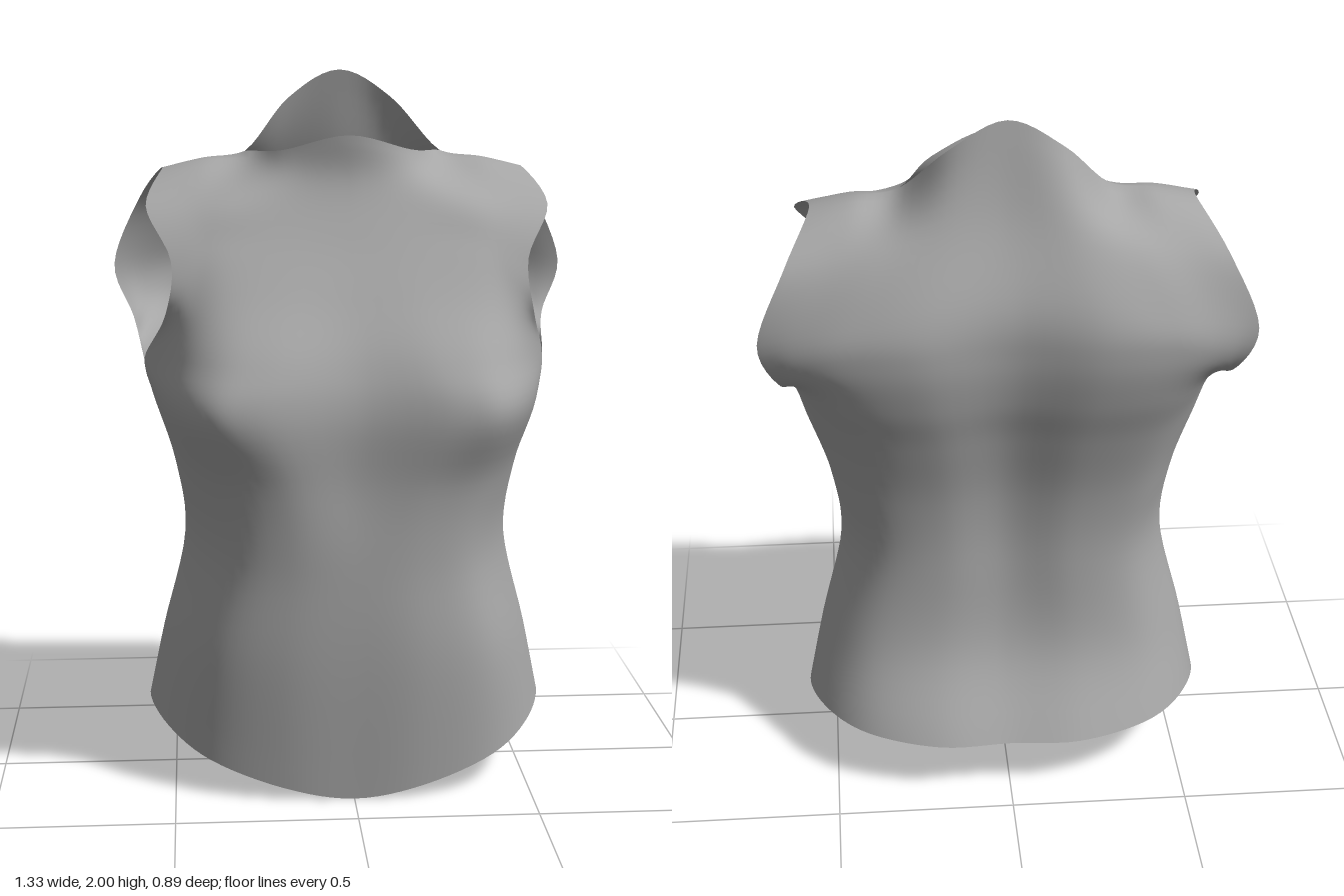
import * as THREE from 'three';
import { mergeVertices } from 'three/addons/utils/BufferGeometryUtils.js';

// Vertical guide seams for the left half, hem to top, ten stations each.
const sideSeam = [[.575, .185, -.08], [.53, .4, -.07], [.465, .68, -.06], [.49, .9, -.05], [.553, 1.1, -.05], [.575, 1.19, -.06]];
const shoulderTip = [.515, 1.73, -.14], shoulderMid = [.4, 1.757, -.14], neckCorner = [.28, 1.775, -.14];

const front = [
  // centre line
  [[0, 0, .35], [0, .4, .39], [0, .68, .4], [0, .9, .395], [0, 1.1, .403], [0, 1.24, .365], [0, 1.4, .275], [0, 1.56, .185], [0, 1.71, .123], [0, 1.835, .128]],
  // bust line, ending on the neckline
  [[.2, .035, .345], [.2, .4, .38], [.18, .68, .388], [.2, .9, .405], [.27, 1.1, .443], [.23, 1.24, .395], [.2, 1.4, .283], [.18, 1.55, .19], [.17, 1.69, .115], [.18, 1.79, .05]],
  // outer bust, ending at the neck corner
  [[.4, .1, .285], [.38, .4, .31], [.33, .68, .32], [.36, .9, .34], [.41, 1.1, .41], [.385, 1.24, .36], [.35, 1.39, .275], [.33, 1.54, .19], [.32, 1.67, .1], neckCorner],
  // flank, ending on the shoulder
  [[.52, .155, .14], [.48, .4, .15], [.425, .68, .15], [.455, .9, .16], [.505, 1.1, .235], [.495, 1.23, .215], [.45, 1.37, .235], [.42, 1.52, .19], [.44, 1.65, .09], shoulderMid],
  // side seam and front of the armhole
  [...sideSeam, [.51, 1.35, .19], [.492, 1.5, .19], [.56, 1.64, .08], shoulderTip],
];

const back = [
  // spine groove
  [[0, .165, -.425], [0, .4, -.295], [0, .68, -.265], [0, .9, -.28], [0, 1.1, -.33], [0, 1.24, -.375], [0, 1.38, -.4], [0, 1.53, -.395], [0, 1.76, -.31], [0, 2, -.26]],
  // shoulder blade, ending on the back neckline
  [[.2, .165, -.43], [.2, .4, -.31], [.17, .68, -.29], [.18, .9, -.31], [.2, 1.1, -.365], [.23, 1.24, -.412], [.24, 1.38, -.44], [.24, 1.51, -.428], [.17, 1.72, -.335], [.15, 1.92, -.25]],
  // outer back
  [[.4, .172, -.36], [.38, .4, -.275], [.33, .68, -.26], [.36, .9, -.28], [.4, 1.1, -.33], [.44, 1.24, -.375], [.45, 1.37, -.415], [.42, 1.49, -.41], [.32, 1.68, -.325], neckCorner],
  // flank
  [[.52, .18, -.24], [.48, .4, -.19], [.42, .68, -.18], [.45, .9, -.19], [.51, 1.1, -.21], [.55, 1.23, -.245], [.57, 1.33, -.36], [.56, 1.46, -.378], [.46, 1.65, -.315], shoulderMid],
  // side seam and back of the armhole
  [...sideSeam, [.61, 1.28, -.295], [.665, 1.43, -.35], [.585, 1.63, -.315], shoulderTip],
];

const ROWS = 9, COLS = 4, SUB = 6;
const reflect = (end, inner) => end.map((c, k) => 2 * c - inner[k]);

// Smooth curve through a list padded with one guide point at each end
function spline(pts, t) {
  const i = Math.min(Math.floor(t), pts.length - 4), f = t - i;
  return [0, 1, 2].map((k) => {
    const [a, b, c, d] = [0, 1, 2, 3].map((n) => pts[i + n][k]);
    return b + 0.5 * f * (c - a + f * (2 * a - 5 * b + 4 * c - d + f * (3 * (b - c) + d - a)));
  });
}

// Point on a panel; the other panel guides the tangents over the shared seams
function panelPoint(panel, other, u, v) {
  const columns = panel.map((col, c) => {
    const top = c >= 3 ? other[c][ROWS - 1] : reflect(col[ROWS], col[ROWS - 1]);
    return [reflect(col[0], col[1]), ...col, top];
  });
  const beyond = panel[COLS].map((p, r) => (r <= 5 ? other[COLS - 1][r] : reflect(p, panel[COLS - 1][r])));
  columns.push([reflect(beyond[0], beyond[1]), ...beyond, reflect(beyond[ROWS], beyond[ROWS - 1])]);
  const row = columns.map((col) => spline(col, v));
  const [x, y, z] = row[1];
  return spline([[-x, y, z], ...row], u);
}

function torsoGeometry() {
  const positions = [], indices = [];
  const nu = COLS * SUB, nv = ROWS * SUB;
  for (const [panel, other, facing] of [[front, back, 1], [back, front, -1]]) {
    for (const side of [1, -1]) {
      const base = positions.length / 3;
      for (let j = 0; j <= nv; j++) {
        for (let i = 0; i <= nu; i++) {
          const u = i / SUB, v = j / SUB;
          let p = panelPoint(panel, other, u, v);
          // close the side and shoulder seams exactly
          if ((i === nu && v <= 5) || (j === nv && u >= 2)) {
            const q = panelPoint(other, panel, u, v);
            p = p.map((c, k) => (c + q[k]) / 2);
          }
          const round = p.map((c) => Math.round(c * 1e5) / 1e5);
          positions.push(side * round[0], round[1], round[2]);
          if (i === nu || j === nv) continue;
          const a = base + j * (nu + 1) + i, b = a + 1, d = a + nu + 1, c = d + 1;
          if (side * facing > 0) indices.push(a, b, c, a, c, d);
          else indices.push(a, c, b, a, d, c);
        }
      }
    }
  }
  const geometry = new THREE.BufferGeometry();
  geometry.setAttribute('position', new THREE.Float32BufferAttribute(positions, 3));
  geometry.setIndex(indices);
  const merged = mergeVertices(geometry, 1e-4);
  merged.computeVertexNormals();
  return merged;
}

export function createModel() {
  const group = new THREE.Group();
  group.name = 'torsoModel';
  const grey = new THREE.MeshStandardMaterial({ color: 0xa6a6a6, side: THREE.DoubleSide });
  grey.name = 'plain grey';
  // open shell with hem, neck and arm openings
  const torso = new THREE.Mesh(torsoGeometry(), grey);
  torso.name = 'torsoShell';
  group.add(torso);
  return group;
}
